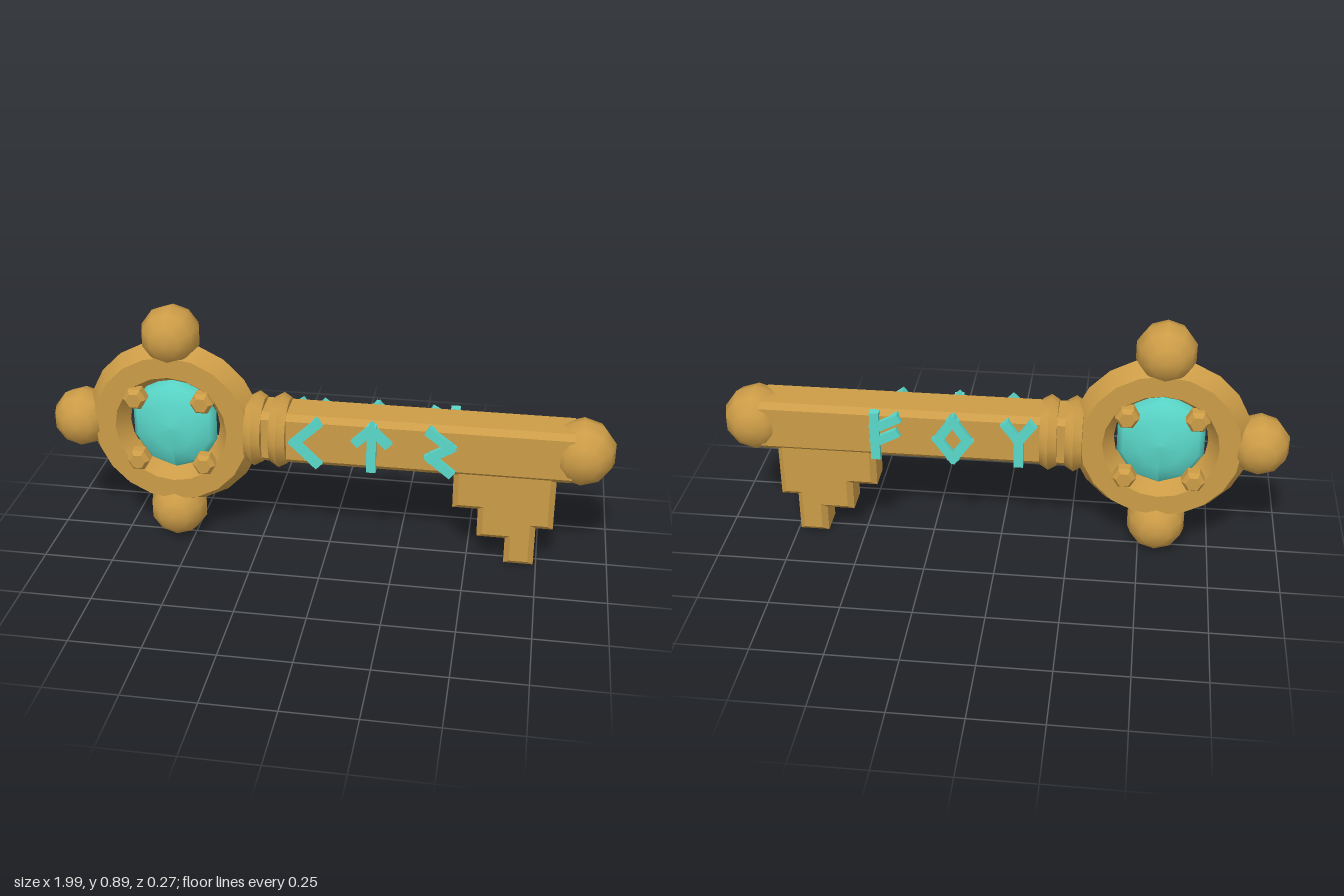
import * as THREE from 'three';
import { toCreasedNormals } from 'three/addons/utils/BufferGeometryUtils.js';

const CY = 0.45;      // height of the key's axis
const RING_X = -0.56; // centre of the bow

export function createModel() {
  const root = new THREE.Group();
  root.name = 'ornateKey';
  const gold = new THREE.MeshStandardMaterial({ color: 0xcc9c47 });
  gold.name = 'gold';
  const teal = new THREE.MeshStandardMaterial({ color: 0x5ad8ca });
  teal.name = 'teal';

  const add = (name, geo, mat, x = 0, y = 0, z = 0, parent = root) => {
    const mesh = new THREE.Mesh(geo, mat);
    mesh.name = name;
    mesh.position.set(x, y, z);
    parent.add(mesh);
    return mesh;
  };
  const creased = (geo) => toCreasedNormals(geo, 0.6);
  // Low-sided smooth ball with its poles on z
  const ball = (r) => new THREE.SphereGeometry(r, 10, 6).rotateX(Math.PI / 2).rotateZ(Math.PI / 2);

  // Bow: six-sided ring with three balls
  add('bowRing', creased(new THREE.TorusGeometry(0.24, 0.076, 6, 20)), gold, RING_X, CY);
  for (const [name, dx, dy] of [['topBall', 0, 1], ['bottomBall', 0, -1], ['sideBall', -1, 0]]) {
    add(name, ball(0.107), gold, RING_X + dx * 0.34, CY + dy * 0.34);
  }

  // Gem
  const gem = ball(1).scale(0.16, 0.182, 0.06);
  gem.computeVertexNormals();
  add('gem', gem, teal, RING_X, CY);

  // Six-sided studs around the gem, on both faces
  const studProfile = [[0, -0.034], [0.028, -0.034], [0.042, -0.017], [0.042, 0.017], [0.028, 0.034], [0, 0.034]]
    .map(([r, h]) => new THREE.Vector2(r, h));
  const studGeo = creased(new THREE.LatheGeometry(studProfile, 6).rotateX(Math.PI / 2).rotateZ(Math.PI / 2));
  for (const sx of [-1, 1]) for (const sy of [-1, 1]) for (const sz of [-1, 1]) {
    add('stud', studGeo, gold, RING_X + sx * 0.12, CY + sy * 0.12, sz * 0.067);
  }

  // Collars
  const collarGeo = creased(new THREE.TorusGeometry(0.1, 0.034, 6, 12).rotateY(Math.PI / 2));
  for (const x of [-0.26, -0.172]) add('collar', collarGeo, gold, x, CY);

  // Shaft: chamfered bar along x
  const hz = 0.083, hy = 0.094, c = 0.02;
  const section = new THREE.Shape([
    [hz, -hy + c], [hz, hy - c], [hz - c, hy], [-hz + c, hy],
    [-hz, hy - c], [-hz, -hy + c], [-hz + c, -hy], [hz - c, -hy],
  ].map(([x, y]) => new THREE.Vector2(x, y)));
  const shaft = new THREE.ExtrudeGeometry(section, { depth: 1.115, bevelEnabled: false }).rotateY(Math.PI / 2);
  add('shaft', shaft, gold, -0.265, CY);
  add('endBall', ball(0.118), gold, 0.88, CY);

  // Stepped bit with a bevelled edge
  const b = 0.02;
  const bit = new THREE.Shape([
    [0.465, 0.4], [0.465, 0.24], [0.555, 0.24], [0.555, 0.13], [0.655, 0.13], [0.655, 0.03],
    [0.72, 0.03], [0.72, 0.18], [0.78, 0.18], [0.78, 0.4],
  ].map(([x, y]) => new THREE.Vector2(x, y)));
  add('bit', new THREE.ExtrudeGeometry(bit, {
    depth: 0.103, bevelEnabled: true, bevelSize: b, bevelThickness: b, bevelSegments: 1,
  }), gold, 0, 0, -0.0515);

  // Raised ornaments, each a set of polylines about the axis
  const W = 0.033;
  const ornament = (name, lines, x, back) => {
    const group = new THREE.Group();
    group.name = name;
    group.position.set(x, CY, 0);
    if (back) group.rotation.y = Math.PI;
    for (const line of lines) {
      for (let i = 0; i + 1 < line.length; i++) {
        const [ax, ay] = line[i], [bx, by] = line[i + 1];
        const len = Math.hypot(bx - ax, by - ay) + W * 0.9;
        const bar = add('bar', new THREE.BoxGeometry(len, W, 0.03), teal, (ax + bx) / 2, (ay + by) / 2, 0.085, group);
        bar.rotation.z = Math.atan2(by - ay, bx - ax);
      }
    }
    root.add(group);
  };
  // Front face
  ornament('chevron', [[[0.037, 0.074], [-0.04, 0], [0.037, -0.074]]], -0.07, false);
  ornament('arrow', [[[0, -0.078], [0, 0.07]], [[-0.05, 0.022], [0, 0.072], [0.05, 0.022]]], 0.16, false);
  ornament('zigzag', [[[-0.033, 0.073], [0.035, 0.022], [-0.033, -0.02], [0.033, -0.073]]], 0.397, false);
  // Back face
  ornament('fork', [[[0, -0.078], [0, 0]], [[-0.042, 0.068], [0, 0.012], [0.042, 0.068]]], -0.07, true);
  ornament('diamond', [[[0, 0.075], [0.052, 0], [0, -0.075], [-0.052, 0], [0, 0.075]]], 0.16, true);
  ornament('branch', [
    [[-0.04, -0.078], [-0.04, 0.078]], [[-0.04, 0.03], [0.035, 0.07]], [[-0.04, -0.025], [0.03, 0.012]],
  ], 0.395, true);

  return root;
}
